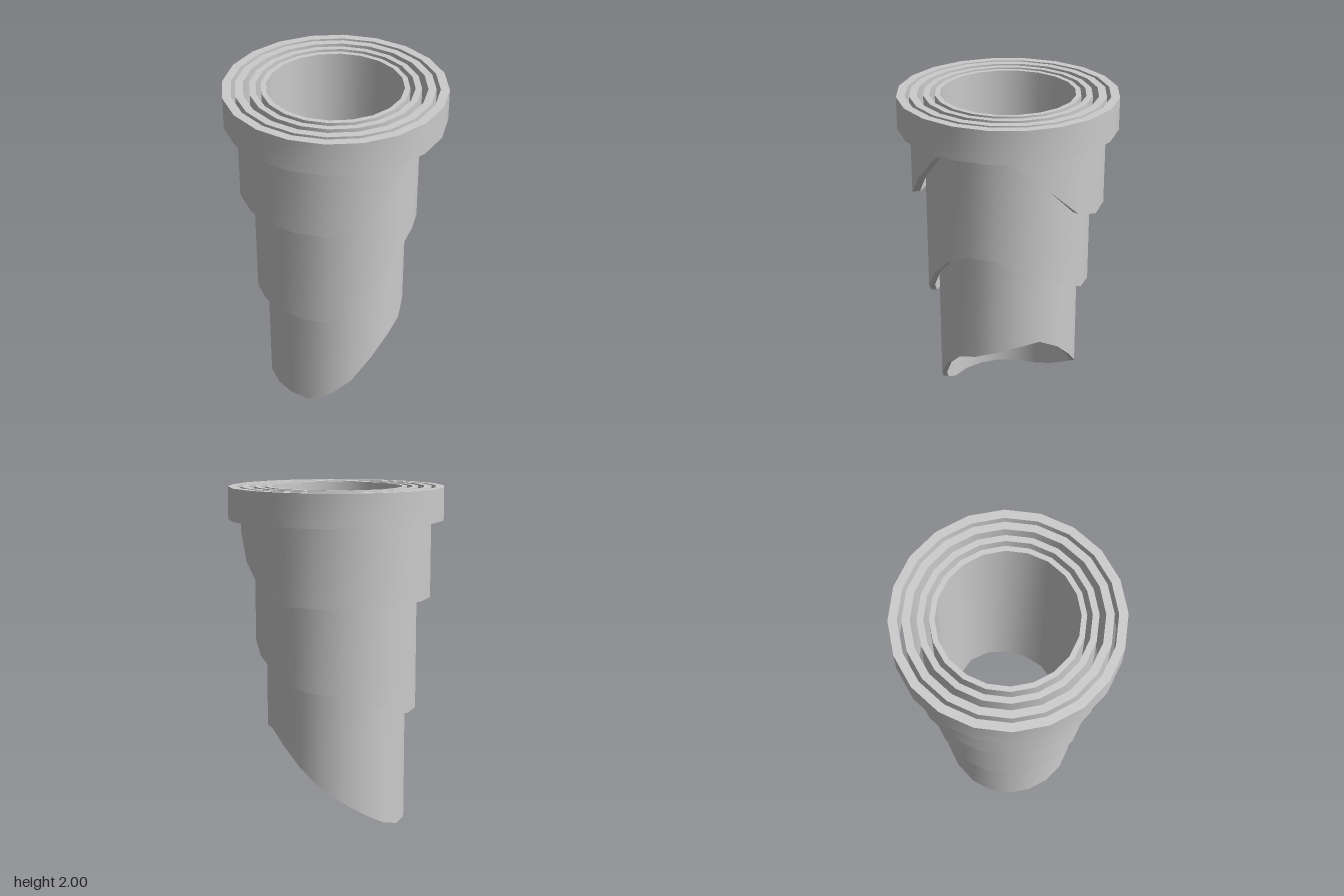
import * as THREE from 'three';
import { toCreasedNormals } from 'three/addons/utils/BufferGeometryUtils.js';

const SIDES = 20;
const TOP = 2;

// Each tube: radii and lower-edge height every 18 degrees, from +z towards +x
const TUBES = [
  { name: 'rim', outer: 0.635, inner: 0.585, edge: new Array(SIDES).fill(1.81) },
  {
    name: 'upperSleeve', outer: 0.562, inner: 0.517,
    edge: [1.75, 1.83, 1.83, 1.74, 1.58, 1.42, 1.36, 1.36, 1.36, 1.36,
      1.36, 1.36, 1.36, 1.36, 1.36, 1.36, 1.36, 1.36, 1.42, 1.58],
  },
  {
    name: 'middleSleeve', outer: 0.482, inner: 0.446,
    edge: [1.09, 1.16, 1.16, 1.09, 1.02, 0.95, 0.87, 0.855, 0.83, 0.785,
      0.73, 0.69, 0.69, 0.69, 0.69, 0.69, 0.69, 0.69, 0.80, 0.955],
  },
  {
    name: 'innerPipe', outer: 0.417, inner: 0.387,
    edge: [0.43, 0.475, 0.525, 0.565, 0.58, 0.505, 0.39, 0.275, 0.19, 0.11,
      0.04, 0, 0, 0, 0, 0, 0, 0.07, 0.175, 0.32],
  },
];

// Closed ring whose four-point section follows the lower edge around the axis
function tubeGeometry({ outer, inner, edge }) {
  const positions = [];
  const indices = [];
  for (let i = 0; i < SIDES; i++) {
    const a = (i / SIDES) * Math.PI * 2;
    const section = [[outer, edge[i]], [outer, TOP], [inner, TOP], [inner, edge[i]]];
    for (const [r, y] of section) positions.push(r * Math.sin(a), y, r * Math.cos(a));
    const next = (i + 1) % SIDES;
    for (let k = 0; k < 4; k++) {
      const l = (k + 1) % 4;
      const p = i * 4 + k, q = next * 4 + k, s = next * 4 + l, t = i * 4 + l;
      indices.push(p, q, s, p, s, t);
    }
  }
  const geometry = new THREE.BufferGeometry();
  geometry.setAttribute('position', new THREE.Float32BufferAttribute(positions, 3));
  geometry.setIndex(indices);
  return toCreasedNormals(geometry, Math.PI / 6);
}

export function createModel() {
  const group = new THREE.Group();
  group.name = 'nestedTubes';
  const material = new THREE.MeshStandardMaterial({ color: 0xcccccc });
  for (const tube of TUBES) {
    const mesh = new THREE.Mesh(tubeGeometry(tube), material);
    mesh.name = tube.name;
    group.add(mesh);
  }
  return group;
}
